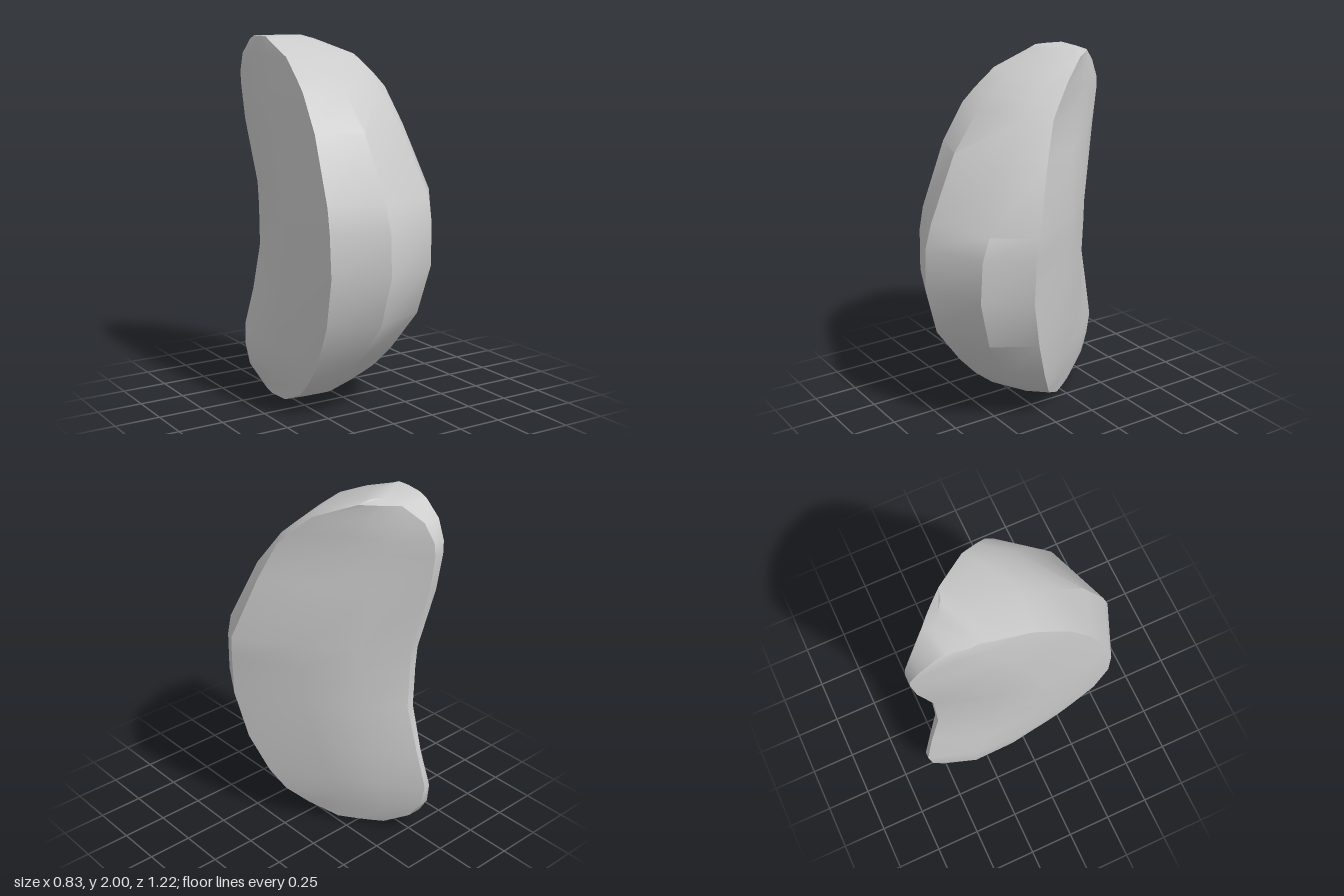
import * as THREE from 'three';
import { toCreasedNormals } from 'three/addons/utils/BufferGeometryUtils.js';

// Level outlines, bottom to top:
// y, left wall x, front ridge x z, outer ridge x z, inner edge z, its left x, its right x
const LEVELS = [
  [0.00, -0.25, -0.22, -0.15, -0.08, -0.20, -0.26, -0.23, -0.15],
  [0.03, -0.335, -0.20, -0.05, 0.00, -0.18, -0.39, -0.29, -0.16],
  [0.11, -0.34, -0.18, 0.15, 0.11, -0.05, -0.52, -0.31, -0.23],
  [0.21, -0.345, -0.165, 0.27, 0.21, 0.03, -0.58, -0.305, -0.26],
  [0.33, -0.35, -0.145, 0.38, 0.275, 0.095, -0.60, -0.295, -0.26],
  [0.55, -0.365, -0.11, 0.54, 0.35, 0.18, -0.55, -0.265, -0.235],
  [0.82, -0.375, -0.095, 0.61, 0.395, 0.24, -0.49, -0.25, -0.21],
  [1.05, -0.38, -0.095, 0.60, 0.405, 0.235, -0.495, -0.25, -0.21],
  [1.18, -0.378, -0.10, 0.56, 0.415, 0.22, -0.50, -0.255, -0.21],
  [1.53, -0.37, -0.12, 0.40, 0.315, 0.11, -0.58, -0.285, -0.24],
  [1.73, -0.365, -0.145, 0.24, 0.25, 0.03, -0.605, -0.295, -0.24],
  [1.80, -0.36, -0.16, 0.16, 0.215, -0.03, -0.60, -0.30, -0.235],
  [1.90, -0.35, -0.18, 0.03, 0.155, -0.13, -0.55, -0.31, -0.21],
  [1.98, -0.335, -0.21, -0.19, 0.01, -0.31, -0.46, -0.31, -0.14],
  [2.00, -0.33, -0.22, -0.24, -0.06, -0.33, -0.41, -0.31, -0.18],
];

// One horizontal wedge outline, counter-clockwise seen from above
function outline([y, xL, xM, zM, xR, zR, zB, xE, xB]) {
  const mix = THREE.MathUtils.lerp;
  const rind = 0.9 * (zM - zR) ** 2;
  const zA = zM - rind;
  // The flat side swells at mid height, the left wall towards the bottom
  const swell = (zR - zB) * Math.max(0.2, 1 - ((y - 1) / 0.75) ** 2);
  const side = (t) => [mix(xB, xR, t) + 0.06 * swell, mix(zB, zR, t) - 0.085 * swell];
  const belly = 0.05 * Math.min(y / 0.2, 1) * Math.sqrt(Math.max(0, 1 - y / 1.75));
  const wall = [xL - belly, mix(zA, zB, 0.4)];
  return [
    [xL, zA], // left front corner
    [xM, zM], // front ridge
    [mix(xM, xR, 0.7), mix(zM, zR, 0.7) + rind], // rounded rind
    [xR, zR], // outer ridge
    side(0.6), // gently swollen side
    side(0.3),
    [xB, zB], // narrow inner edge
    [xE, zB],
    [mix(wall[0], xE, 0.5) - belly, mix(wall[1], zB, 0.5)], // left wall
    wall,
  ].map(([x, z]) => [x, y, z]);
}

// Skins the outlines and closes both ends
function loft(rings) {
  const n = rings[0].length;
  const index = [];
  for (let r = 0; r < rings.length - 1; r++) {
    for (let i = 0; i < n; i++) {
      const a = r * n + i;
      const b = r * n + (i + 1) % n;
      index.push(a, b, b + n, a, b + n, a + n);
    }
  }
  const top = (rings.length - 1) * n;
  for (let i = 1; i < n - 1; i++) {
    index.push(0, i + 1, i, top, top + i, top + i + 1);
  }
  const geometry = new THREE.BufferGeometry();
  geometry.setAttribute('position', new THREE.Float32BufferAttribute(rings.flat(2), 3));
  geometry.setIndex(index);
  return toCreasedNormals(geometry, 0.55);
}

export function createModel() {
  const model = new THREE.Group();
  model.name = 'fruitSegment';
  const segment = new THREE.Mesh(
    loft(LEVELS.map(outline)),
    new THREE.MeshStandardMaterial({ color: 0xcccccc })
  );
  segment.name = 'segmentBody';
  model.add(segment);
  return model;
}
